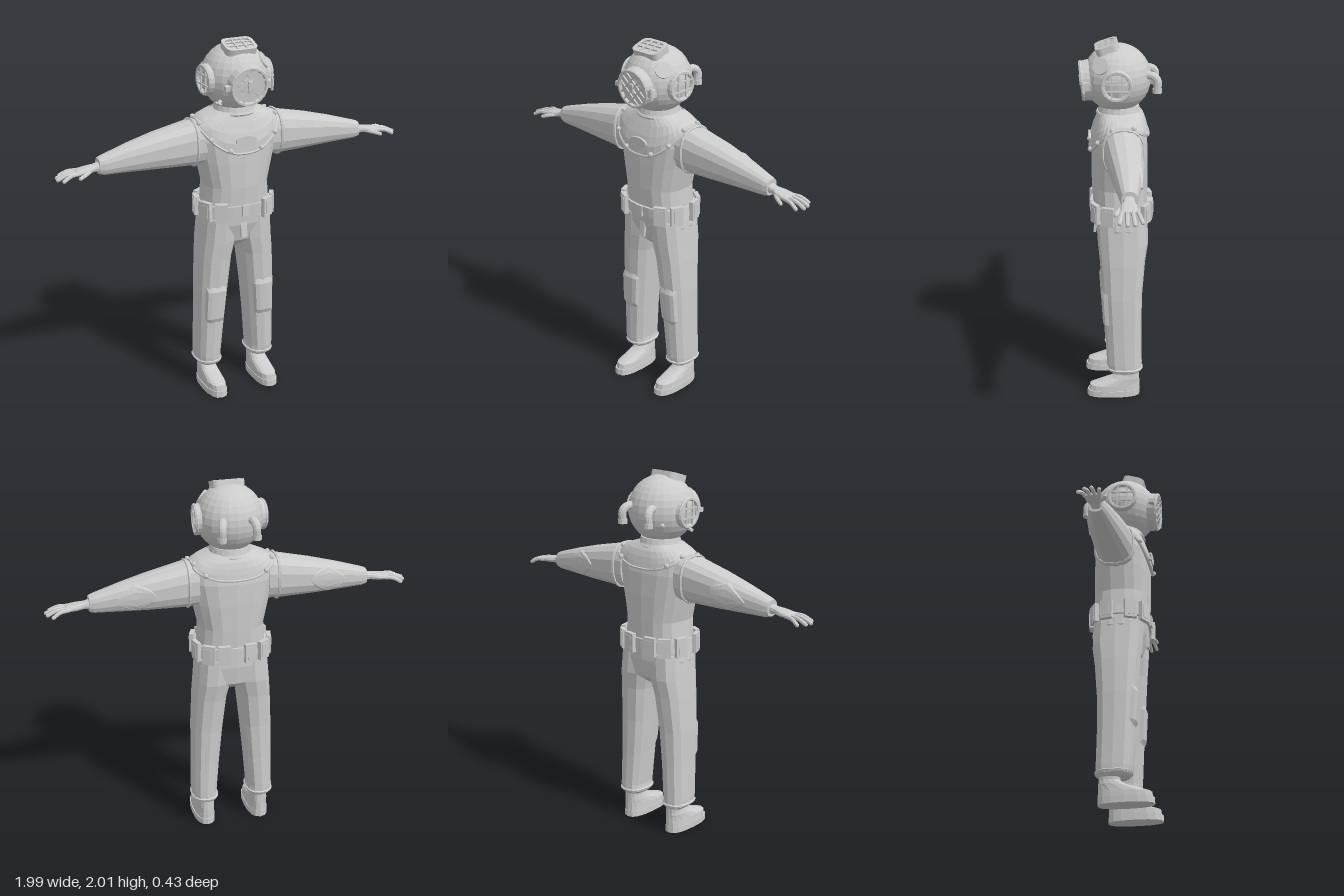
import * as THREE from 'three';

const mat = new THREE.MeshStandardMaterial({ color: 0xcccccc, flatShading: true, side: THREE.DoubleSide });
const V = (x, y, z) => new THREE.Vector3(x, y, z);
const rad = THREE.MathUtils.degToRad;

function add(parent, name, geo, pos = [0, 0, 0], rot = [0, 0, 0]) {
  const m = new THREE.Mesh(geo, mat);
  m.name = name;
  m.position.set(...pos);
  m.rotation.set(...rot);
  parent.add(m);
  return m;
}

// Rings are [t, u0, u1, v0, v1]: axis 'y' uses u = z, v = x; axis 'x' uses u = y, v = z.
const place = (axis, t, u, v) => (axis === 'y' ? V(v, t, u) : V(t, u, v));
const soft = (c) => Math.sign(c) * Math.abs(c) ** 0.78;

// Point on a lofted form at height t and angle a, pushed out by off
function at(rings, axis, t, a, off = 0) {
  let i = 0;
  while (i < rings.length - 2 && t > rings[i + 1][0]) i++;
  const A = rings[i], B = rings[i + 1];
  const k = THREE.MathUtils.clamp((t - A[0]) / (B[0] - A[0]), 0, 1);
  const [, u0, u1, v0, v1] = A.map((n, j) => n + (B[j] - n) * k);
  return place(axis, t,
    (u0 + u1) / 2 + ((u1 - u0) / 2 + off) * soft(Math.cos(a)),
    (v0 + v1) / 2 + ((v1 - v0) / 2 + off) * soft(Math.sin(a)));
}

// Skin a stack of point loops
function skin(loops, closed = true, caps = closed) {
  const n = loops[0].length, pts = loops.flat(), idx = [];
  for (let i = 0; i < loops.length - 1; i++)
    for (let j = 0; j < (closed ? n : n - 1); j++) {
      const a = i * n + j, b = i * n + (j + 1) % n;
      idx.push(a, b, b + n, a, b + n, a + n);
    }
  if (caps) {
    const last = (loops.length - 1) * n;
    for (let j = 1; j < n - 1; j++) idx.push(0, j + 1, j, last, last + j, last + j + 1);
  }
  const g = new THREE.BufferGeometry().setFromPoints(pts);
  g.setIndex(idx);
  g.computeVertexNormals();
  return g;
}
const angles = (n) => Array.from({ length: n }, (_, i) => (i / n) * Math.PI * 2);
const loft = (rings, axis, n = 14) =>
  skin(rings.map((r) => angles(n).map((a) => at(rings, axis, r[0], a))));

const tube = (pts, r, seg = 12, sides = 8, closed = false) =>
  new THREE.TubeGeometry(new THREE.CatmullRomCurve3(pts, closed), seg, r, sides, closed);

// Copy of a group reflected to the other side, with faces kept outward
function mirrored(src, name) {
  const out = new THREE.Group();
  out.name = name;
  src.updateMatrixWorld(true);
  src.traverse((m) => {
    if (!m.isMesh) return;
    const g = m.geometry.clone().applyMatrix4(m.matrixWorld).scale(-1, 1, 1);
    g.index.array.reverse();
    g.computeVertexNormals();
    add(out, m.name, g);
  });
  return out;
}

const TORSO = [
  [0.85, -0.08, 0.04, -0.04, 0.04], [0.9, -0.145, 0.1, -0.16, 0.16], [1.0, -0.155, 0.13, -0.2, 0.2],
  [1.1, -0.152, 0.14, -0.187, 0.187], [1.22, -0.155, 0.148, -0.178, 0.178], [1.36, -0.155, 0.148, -0.21, 0.21],
  [1.48, -0.15, 0.145, -0.237, 0.237], [1.56, -0.135, 0.12, -0.235, 0.235], [1.6, -0.12, 0.1, -0.19, 0.19],
  [1.63, -0.1, 0.09, -0.11, 0.11]];
const LEG = [
  [0.145, -0.105, 0.055, 0.1, 0.215], [0.16, -0.12, 0.07, 0.087, 0.23], [0.2, -0.12, 0.075, 0.092, 0.231],
  [0.4, -0.117, 0.085, 0.075, 0.228], [0.6, -0.12, 0.097, 0.055, 0.226], [0.8, -0.137, 0.11, 0.033, 0.216],
  [0.9, -0.153, 0.12, 0.008, 0.207], [1.04, -0.15, 0.128, 0, 0.195]];
const ARM = [
  [0.19, 1.345, 1.59, -0.115, 0.095], [0.26, 1.342, 1.582, -0.115, 0.092], [0.45, 1.347, 1.54, -0.105, 0.072],
  [0.6, 1.352, 1.5, -0.085, 0.052], [0.74, 1.355, 1.457, -0.06, 0.033], [0.765, 1.362, 1.448, -0.053, 0.026]];

function makeLeg() {
  const g = new THREE.Group();
  g.name = 'leftLeg';
  add(g, 'trouserLeg', loft(LEG, 'y', 12));
  add(g, 'cuffRoll', tube(angles(12).map((a) => at(LEG, 'y', 0.17, a, -0.002)), 0.008, 24, 5, true));
  // Raised knee patch wrapped on the front
  const patch = [];
  for (let i = 0; i <= 8; i++) {
    const row = [];
    for (let j = 0; j <= 6; j++) {
      const rim = i === 0 || i === 8 || j === 0 || j === 6;
      row.push(at(LEG, 'y', 0.42 + 0.0275 * i, rad(-40 + 14 * j), rim ? -0.003 : 0.009));
    }
    patch.push(row);
  }
  add(g, 'kneePatch', skin(patch, false));
  // Boot and sole
  add(g, 'boot', loft([
    [0.03, -0.108, 0.178, 0.1, 0.212], [0.065, -0.108, 0.172, 0.102, 0.21], [0.085, -0.107, 0.11, 0.105, 0.207],
    [0.105, -0.106, 0.045, 0.108, 0.205], [0.13, -0.105, 0.01, 0.112, 0.2], [0.2, -0.105, 0.005, 0.108, 0.204]], 'y', 16));
  add(g, 'sole', loft([[0, -0.11, 0.187, 0.096, 0.216], [0.035, -0.11, 0.185, 0.097, 0.216]], 'y', 16));
  return g;
}

function makeArm() {
  const g = new THREE.Group();
  g.name = 'leftArm';
  add(g, 'sleeve', loft(ARM, 'x', 14));
  add(g, 'armholeSeam', tube(angles(14).map((a) => at(ARM, 'x', 0.245, a, 0.002)), 0.008, 28, 5, true));
  // Diamond elbow patch on the back
  const patch = [];
  for (let i = 0; i <= 10; i++) {
    const w = 62 * (1 - Math.abs(i - 5) / 5), row = [];
    for (let j = 0; j <= 6; j++)
      row.push(at(ARM, 'x', 0.42 + 0.022 * i, rad(-90 + w * (j / 3 - 1)), j === 0 || j === 6 ? -0.002 : 0.006));
    patch.push(row);
  }
  add(g, 'elbowPatch', skin(patch, false));
  // Hand, palm down with the thumb forward
  add(g, 'palm', loft([
    [0.75, 1.375, 1.43, -0.04, 0.018], [0.79, 1.38, 1.418, -0.038, 0.018], [0.83, 1.376, 1.412, -0.05, 0.034],
    [0.88, 1.375, 1.403, -0.052, 0.036], [0.895, 1.38, 1.395, -0.046, 0.03]], 'x', 12));
  const fingers = [[-0.043, 0.957, -0.065], [-0.02, 0.982, -0.028], [0.004, 0.987, 0.008], [0.026, 0.965, 0.044]];
  const finger = (name, pts) => {
    add(g, name, tube(pts, 0.0105, 6, 7));
    add(g, name + 'Tip', new THREE.SphereGeometry(0.0105, 7, 5), pts[2].toArray());
  };
  fingers.forEach(([z, tx, tz]) =>
    finger('finger', [V(0.87, 1.389, z), V((0.87 + tx) / 2 + 0.005, 1.386, (z + tz) / 2), V(tx, 1.366, tz)]));
  finger('thumb', [V(0.805, 1.392, 0.008), V(0.845, 1.385, 0.042), V(0.882, 1.374, 0.058)]);
  return g;
}

// Round window facing +z: collar, rim, glass and crossed guard bars
function roundPort(name, r, z0, z1, bars, turn) {
  const g = new THREE.Group();
  g.name = name;
  add(g, 'collar', new THREE.CylinderGeometry(r, r * 1.08, z1 - z0, 20, 1, true), [0, 0, (z0 + z1) / 2], [Math.PI / 2, 0, 0]);
  add(g, 'rim', new THREE.TorusGeometry(r - 0.006, 0.011, 6, 20), [0, 0, z1 - 0.004]);
  add(g, 'glass', new THREE.CircleGeometry(r, 20), [0, 0, z1 - 0.018]);
  for (const d of bars) {
    const len = 2 * Math.sqrt((r - 0.005) ** 2 - d * d), c = Math.cos(turn), s = Math.sin(turn);
    add(g, 'guardBar', new THREE.BoxGeometry(len, 0.008, 0.008), [-d * s, d * c, z1], [0, 0, turn]);
    add(g, 'guardBar', new THREE.BoxGeometry(0.008, len, 0.008), [d * c, d * s, z1], [0, 0, turn]);
  }
  return g;
}

function roundedRect(P, w, h, r) {
  const s = new P();
  [[w - r, h - r, 0], [r - w, h - r, 1], [r - w, r - h, 2], [w - r, r - h, 3]].forEach(([x, y, q]) =>
    s.absarc(x, y, r, q * Math.PI / 2, (q + 1) * Math.PI / 2, false));
  return s;
}

function makeHelmet() {
  const g = new THREE.Group();
  g.name = 'helmet';
  g.position.set(0, 1.805, 0.01);
  add(g, 'dome', new THREE.SphereGeometry(0.18, 24, 16));
  add(g, 'neckRing', new THREE.CylinderGeometry(0.105, 0.118, 0.05, 20), [0, -0.172, -0.01]);
  add(g, 'neckFlange', new THREE.TorusGeometry(0.114, 0.01, 6, 24), [0, -0.188, -0.01], [Math.PI / 2, 0, 0]);
  const aim = (port, x, y, z) => {
    port.quaternion.setFromUnitVectors(V(0, 0, 1), V(x, y, z).normalize());
    g.add(port);
    return port;
  };
  const front = aim(roundPort('frontWindow', 0.104, 0.12, 0.19, [-0.036, 0, 0.036], Math.PI / 4), 0, -0.1, 1);
  // Hinge, clasp and spoke on the front window
  add(front, 'hinge', new THREE.BoxGeometry(0.04, 0.04, 0.035), [0.118, 0, 0.17]);
  add(front, 'hingePin', new THREE.CylinderGeometry(0.008, 0.008, 0.065, 8), [0.13, 0, 0.185]);
  add(front, 'clasp', new THREE.BoxGeometry(0.035, 0.025, 0.03), [-0.115, 0, 0.17]);
  add(front, 'centreBoss', new THREE.BoxGeometry(0.022, 0.05, 0.014), [0, 0.005, 0.193]);
  for (const s of [-1, 1]) aim(roundPort('sideWindow', 0.08, 0.14, 0.185, [-0.026, 0.026], 0), s, -0.02, 0.06);
  // Rounded-rectangle top window
  const top = aim(new THREE.Group(), 0, 0.95, 0.31);
  top.name = 'topWindow';
  const frame = roundedRect(THREE.Shape, 0.088, 0.062, 0.035);
  frame.holes.push(roundedRect(THREE.Path, 0.07, 0.045, 0.025));
  add(top, 'frame', new THREE.ExtrudeGeometry(frame, { depth: 0.048, bevelEnabled: false, curveSegments: 4 }), [0, 0, 0.143]);
  add(top, 'glass', new THREE.PlaneGeometry(0.15, 0.1), [0, 0, 0.181]);
  for (const x of [-0.025, 0.025]) add(top, 'guardBar', new THREE.BoxGeometry(0.008, 0.1, 0.008), [x, 0, 0.189]);
  for (const y of [-0.016, 0.016]) add(top, 'guardBar', new THREE.BoxGeometry(0.15, 0.008, 0.008), [0, y, 0.189]);
  // Small blank port, side valve and spit cock
  const cap = aim(new THREE.Group(), 0.14, 0.1, 0.1);
  cap.name = 'blankPort';
  add(cap, 'disc', new THREE.CylinderGeometry(0.044, 0.046, 0.04, 16), [0, 0, 0.163], [Math.PI / 2, 0, 0]);
  const cock = aim(new THREE.Group(), -0.13, -0.115, 0.09);
  cock.name = 'spitCock';
  add(cock, 'stem', new THREE.CylinderGeometry(0.009, 0.012, 0.035, 8), [0, 0, 0.185], [Math.PI / 2, 0, 0]);
  add(cock, 'handle', new THREE.BoxGeometry(0.035, 0.012, 0.01), [0, 0, 0.2]);
  const valve = aim(new THREE.Group(), -0.12, -0.06, -0.13);
  valve.name = 'valve';
  add(valve, 'knob', new THREE.SphereGeometry(0.013, 8, 6), [0, 0, 0.185]);
  // Elbow pipes at the back
  for (const s of [-1, 1]) {
    add(g, 'elbowPipe', tube([V(s * 0.07, 0.025, -0.13), V(s * 0.083, 0.026, -0.18), V(s * 0.09, 0.005, -0.205),
      V(s * 0.092, -0.05, -0.205)], 0.022, 12, 10));
    add(g, 'pipeEnd', new THREE.CylinderGeometry(0.025, 0.025, 0.024, 10), [s * 0.092, -0.052, -0.205]);
  }
  return g;
}

export function createModel() {
  const root = new THREE.Group();
  root.name = 'deepSeaDiver';
  add(root, 'torso', loft(TORSO, 'y', 18));
  // Breastplate following the shoulders, with beaded edge and bolts
  const edge = (a) => 1.585 - (Math.cos(a) > 0 ? 0.17 : 0.08) * Math.cos(a) ** 2;
  const plate = [[0, 0], [0, 0.012], [0.25, 0.012], [0.5, 0.012], [0.75, 0.012], [1, 0.012]].map(([f, off]) =>
    angles(36).map((a) => at(TORSO, 'y', THREE.MathUtils.lerp(edge(a), 1.63, f), a, off)));
  add(root, 'breastplate', skin(plate, true, false));
  add(root, 'breastplateEdge', tube(angles(36).map((a) => at(TORSO, 'y', edge(a), a, 0.01)), 0.007, 72, 5, true));
  for (const d of [16, 42, 72, 110, 145]) for (const s of [-1, 1]) {
    const a = rad(d * s);
    add(root, 'bolt', new THREE.SphereGeometry(0.014, 8, 6), at(TORSO, 'y', edge(a) + 0.01, a, 0.016).toArray());
  }
  const badge = add(root, 'ovalPlate', new THREE.CylinderGeometry(0.06, 0.06, 0.012, 16), [0, 1.485, 0.158], [Math.PI / 2, 0, 0]);
  badge.scale.z = 0.45;
  // Belt with a ring of lead weights
  const belt = [[1.062, -0.01], [1.062, 0.012], [1.118, 0.012], [1.118, -0.01]].map(([y, off]) =>
    angles(28).map((a) => at(TORSO, 'y', y, a, off)));
  add(root, 'belt', skin(belt, true, false));
  for (const d of [35, 68, 104, 138, 165]) for (const s of [-1, 1]) {
    const a = rad(d * s), p = at(TORSO, 'y', 1.087, a, 0.018);
    const d1 = at(TORSO, 'y', 1.087, a + 0.08).sub(at(TORSO, 'y', 1.087, a - 0.08));
    const yaw = Math.atan2(-d1.z, d1.x);
    const w = new THREE.Group();
    w.name = 'beltWeight';
    w.position.copy(p);
    w.rotation.y = yaw;
    add(w, 'block', new THREE.BoxGeometry(0.068, 0.106, 0.024));
    add(w, 'strap', new THREE.BoxGeometry(0.04, 0.075, 0.03));
    root.add(w);
  }
  add(root, 'buckle', new THREE.BoxGeometry(0.04, 0.06, 0.014), [0, 1.09, 0.152]);
  add(root, 'fly', new THREE.BoxGeometry(0.035, 0.12, 0.014), [0, 0.99, 0.127], [-0.12, 0, 0]);
  const leg = makeLeg(), arm = makeArm();
  root.add(leg, mirrored(leg, 'rightLeg'), arm, mirrored(arm, 'rightArm'), makeHelmet());
  return root;
}
